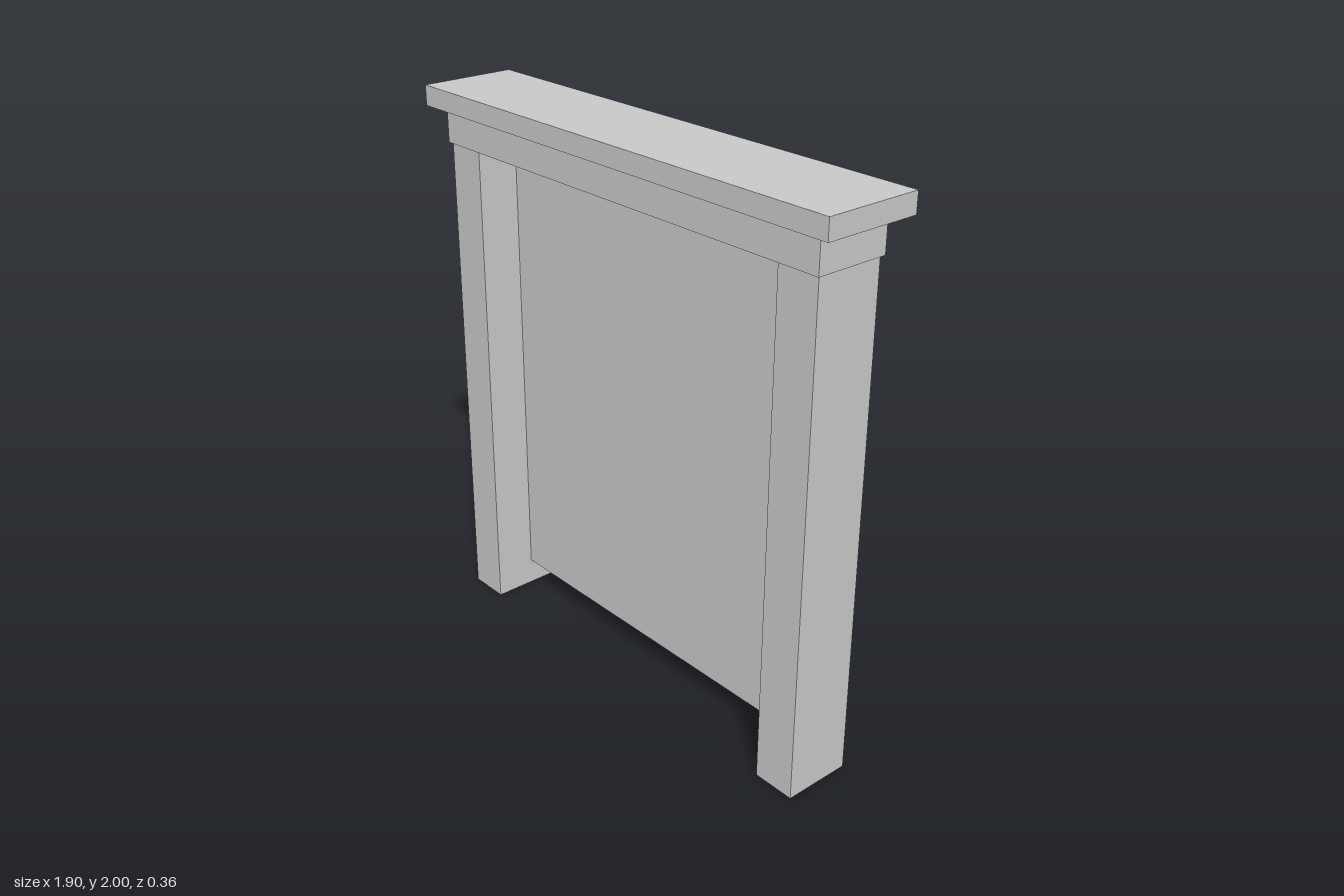
import * as THREE from 'three';

export function createModel() {
  const group = new THREE.Group();
  const paleGrey = new THREE.MeshStandardMaterial({ color: 0xc8c8c8 });
  paleGrey.name = 'paleGrey';

  // Box given by its size, the height of its underside and its centre in x and z
  const addBox = (name, width, height, depth, bottom, x = 0, z = 0) => {
    const mesh = new THREE.Mesh(new THREE.BoxGeometry(width, height, depth), paleGrey);
    mesh.name = name;
    mesh.position.set(x, bottom + height / 2, z);
    group.add(mesh);
  };

  // Posts on both sides
  for (const side of [-1, 1]) {
    addBox(side > 0 ? 'leftPost' : 'rightPost', 0.156, 1.803, 0.25, 0, side * 0.799);
  }

  // Thin panel between the posts, set towards the back
  addBox('panel', 1.442, 1.703, 0.06, 0.1, 0, -0.06);

  // Stepped top
  addBox('frieze', 1.772, 0.125, 0.272, 1.803);
  addBox('topSlab', 1.9, 0.072, 0.356, 1.928);

  return group;
}
